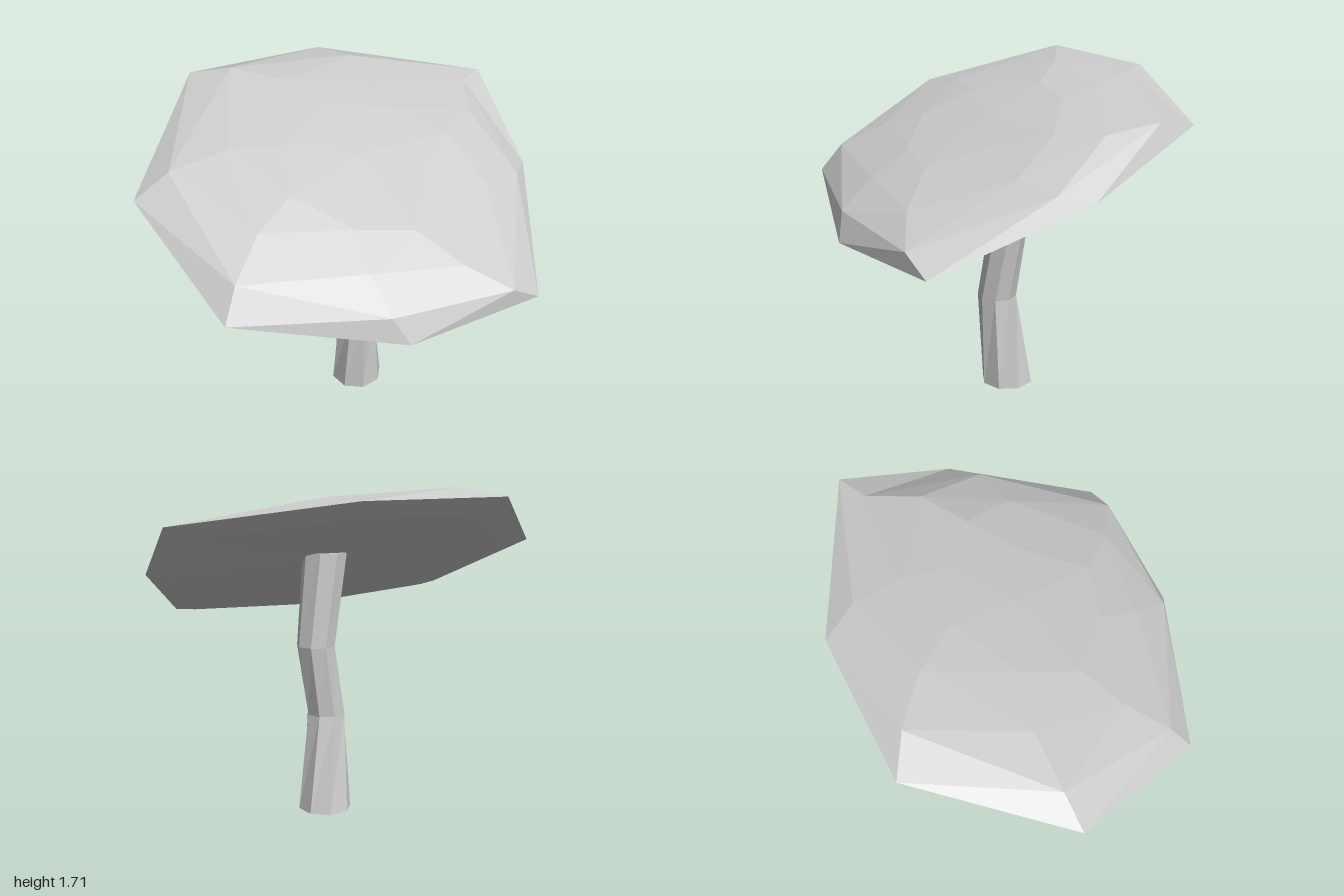
import * as THREE from 'three';

const material = new THREE.MeshStandardMaterial({ color: 0xcccccc, flatShading: true });

// Skins a stack of equal-length rings of [x, y, z] points and closes both ends with fans.
function loft(name, rings, startTip, endTip) {
  const pos = [];
  const tri = (a, b, c) => pos.push(...a, ...b, ...c);
  const n = rings[0].length;
  for (let i = 0; i < n; i++) {
    const j = (i + 1) % n;
    for (let k = 0; k < rings.length - 1; k++) {
      const lo = rings[k], hi = rings[k + 1];
      tri(lo[i], hi[i], lo[j]);
      tri(lo[j], hi[i], hi[j]);
    }
    const last = rings[rings.length - 1];
    tri(startTip, rings[0][i], rings[0][j]);
    tri(endTip, last[j], last[i]);
  }
  const geo = new THREE.BufferGeometry();
  geo.setAttribute('position', new THREE.Float32BufferAttribute(pos, 3));
  geo.computeVertexNormals();
  const mesh = new THREE.Mesh(geo, material);
  mesh.name = name;
  return mesh;
}

// Sloping plane in which the cap lies
const slope = (x, z) => 1.3 - 0.32 * x - 0.28 * z;
const raise = (points, h) => points.map(([x, z]) => [x, slope(x, z) + h, z]);

function createCap() {
  // Irregular outline, clockwise from above
  const rim = [
    [0.32, 1.545, -1.0], [0.7, 1.26, -0.6], [0.985, 0.955, 0.1], [0.53, 0.935, 0.65],
    [-0.23, 1.075, 1.0], [-0.87, 1.385, 0.65], [-0.99, 1.665, -0.165], [-0.5, 1.665, -0.7],
  ];
  // Slightly uneven rings of the dome, as [x, z]
  const outer = [[0.28, -0.85], [0.71, -0.43], [0.89, 0.22], [0.44, 0.66],
    [-0.23, 0.88], [-0.75, 0.51], [-0.78, -0.22], [-0.3, -0.65]];
  const middle = [[0.39, -0.61], [0.6, -0.23], [0.66, 0.27], [0.29, 0.55],
    [-0.23, 0.63], [-0.55, 0.3], [-0.49, -0.25], [-0.1, -0.51]];
  const inner = [[0.35, -0.36], [0.33, -0.1], [0.4, 0.25], [0.16, 0.4],
    [-0.17, 0.4], [-0.31, 0.15], [-0.22, -0.21], [0.04, -0.36]];
  // Lip just below the rim, around a slightly hollow underside
  const lip = rim.map(([x, y, z]) => [x * 0.86, 1.3 + (y - 1.3) * 0.86 - 0.036, z * 0.86]);

  return loft('cap',
    [lip, rim, raise(outer, 0.095), raise(middle, 0.15), raise(inner, 0.185)],
    [0, 1.31, 0], [0.03, slope(0.03, 0) + 0.2, 0]);
}

function createStem() {
  // Bent, slightly twisted eight-sided stem: centre x, y, centre z, radius, turn
  const sections = [
    [-0.028, 0, -0.078, 0.138, 0.13],
    [-0.01, 0.5, -0.025, 0.102, -0.1],
    [0.02, 0.87, -0.085, 0.1, -0.2],
    [-0.01, 1.35, -0.04, 0.114, -0.25],
  ];
  const rings = sections.map(([cx, y, cz, r, turn]) => Array.from({ length: 8 }, (_, i) => {
    const a = turn + (i * Math.PI) / 4;
    return [cx + r * Math.cos(a), y, cz + r * Math.sin(a)];
  }));
  return loft('stem', rings, [-0.028, 0, -0.078], [-0.01, 1.35, -0.04]);
}

export function createModel() {
  const mushroom = new THREE.Group();
  mushroom.name = 'mushroom';
  mushroom.add(createCap(), createStem());
  return mushroom;
}
